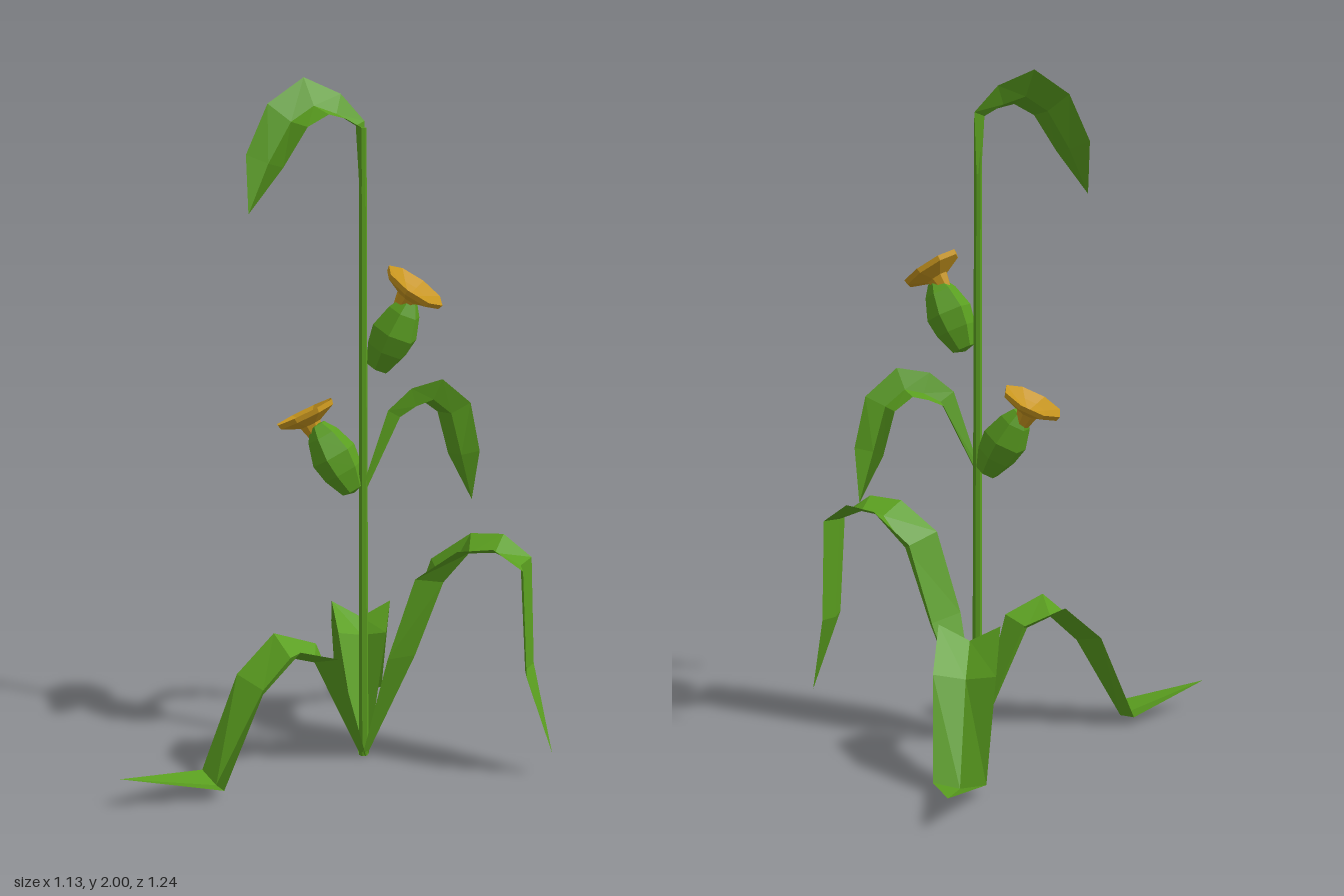
import * as THREE from 'three';

const green = new THREE.MeshStandardMaterial({ color: 0x5a9e1f, flatShading: true, side: THREE.DoubleSide });
const gold = new THREE.MeshStandardMaterial({ color: 0xc8961e, flatShading: true, side: THREE.DoubleSide });
const STEM_X = -0.01, STEM_Z = 0.09;

// Folded leaf arching away from the stem towards (dx, dz), rolled about its own length.
// Each station: [distance from stem, height, half width, fold depth]
function leaf(name, dx, dz, roll, stations) {
  const out = new THREE.Vector3(dx, 0, dz).normalize();
  const across = new THREE.Vector3(-out.z, 0, out.x);
  const positions = [], index = [];
  stations.forEach(([s, y, w, d], i) => {
    const a = stations[Math.max(i - 1, 0)], b = stations[Math.min(i + 1, stations.length - 1)];
    const tangent = out.clone().multiplyScalar(b[0] - a[0]).setY(b[1] - a[1]).normalize();
    const side = across.clone().applyAxisAngle(tangent, -roll);
    const normal = side.clone().cross(tangent);
    const centre = new THREE.Vector3(STEM_X, y, STEM_Z).addScaledVector(out, s);
    // rim, keel below the rims, rim
    for (const k of [-1, 0, 1]) {
      const p = centre.clone().addScaledVector(side, k * w);
      if (k === 0) p.addScaledVector(normal, -d);
      positions.push(p.x, p.y, p.z);
    }
    if (i === 0) return;
    for (let k = 0; k < 2; k++) {
      const p = (i - 1) * 3 + k, q = i * 3 + k;
      index.push(p, p + 1, q, p + 1, q + 1, q);
    }
  });
  const geometry = new THREE.BufferGeometry();
  geometry.setAttribute('position', new THREE.Float32BufferAttribute(positions, 3));
  geometry.setIndex(index);
  geometry.computeVertexNormals();
  const mesh = new THREE.Mesh(geometry, green);
  mesh.name = name;
  return mesh;
}

// Low-sided turned part standing at a point along a tilted axis
function turned(name, profile, sides, material, at, axis) {
  const points = profile.map(([r, y]) => new THREE.Vector2(r, y));
  const mesh = new THREE.Mesh(new THREE.LatheGeometry(points, sides), material);
  mesh.name = name;
  mesh.position.set(...at);
  mesh.quaternion.setFromUnitVectors(new THREE.Vector3(0, 1, 0), new THREE.Vector3(...axis).normalize());
  return mesh;
}

export function createModel() {
  const plant = new THREE.Group();
  plant.name = 'plant';

  // Stem
  const stem = new THREE.Mesh(new THREE.CylinderGeometry(0.011, 0.015, 1.86, 6), green);
  stem.name = 'stem';
  stem.position.set(STEM_X, 0.93, STEM_Z);
  plant.add(stem);

  // Three large leaves from the ground
  plant.add(
    leaf('leftGroundLeaf', 1, 0, 0, [
      [0, 0, 0.015, 0.01], [0.1, 0.35, 0.1, 0.06], [0.18, 0.6, 0.1, 0.07], [0.3, 0.69, 0.095, 0.035],
      [0.4, 0.7, 0.08, 0.035], [0.485, 0.64, 0.07, 0.02], [0.5, 0.32, 0.06, 0.015], [0.57, 0.07, 0, 0]]),
    leaf('frontGroundLeaf', -0.56, 0.53, 0, [
      [0, 0, 0.015, 0.01], [0.12, 0.35, 0.075, 0.05], [0.25, 0.4, 0.09, 0.05],
      [0.37, 0.295, 0.09, 0.05], [0.49, 0.025, 0.08, 0.02], [0.77, 0.09, 0, 0]]),
    leaf('backGroundLeaf', -0.22, -0.705, 0, [
      [0, 0, 0.015, 0.01], [0.1, 0.35, 0.072, 0.05], [0.22, 0.41, 0.09, 0.05],
      [0.35, 0.3, 0.09, 0.04], [0.47, 0.025, 0.075, 0.02], [0.74, 0.09, 0, 0]]));

  // Smaller leaves on the stem, rolled to one side
  plant.add(
    leaf('middleLeaf', 0.74, -0.67, 0.75, [
      [0, 0.83, 0.012, 0.01], [0.09, 1.045, 0.045, 0.03], [0.15, 1.085, 0.055, 0.035], [0.225, 1.1, 0.058, 0.035],
      [0.3, 1.04, 0.055, 0.035], [0.335, 0.9, 0.05, 0.025], [0.365, 0.75, 0, 0]]),
    leaf('topLeaf', -0.72, 0.69, 0.64, [
      [0, 1.7, 0.014, 0.01], [0, 1.87, 0.04, 0.02], [0.06, 1.92, 0.06, 0.03], [0.143, 1.95, 0.08, 0.035],
      [0.23, 1.9, 0.072, 0.035], [0.3, 1.78, 0.06, 0.025], [0.35, 1.64, 0, 0]]));

  // Buds, each topped with an open flower
  const bud = [[0, 0], [0.035, 0.01], [0.06, 0.07], [0.069, 0.125], [0.048, 0.19], [0.025, 0.225], [0, 0.23]];
  const flower = [[0.022, -0.04], [0.034, 0], [0.09, 0.025], [0.094, 0.04], [0.05, 0.022], [0, 0.005]];
  plant.add(
    turned('upperBud', bud, 6, green, [0.03, 1.18, STEM_Z], [0.42, 0.9, 0]),
    turned('upperFlower', flower, 8, gold, [0.12, 1.395, STEM_Z], [0.57, 0.82, 0]),
    turned('lowerBud', bud, 6, green, [-0.035, 0.815, STEM_Z], [-0.5, 0.85, 0]),
    turned('lowerFlower', flower, 8, gold, [-0.17, 1.01, 0.085], [-0.45, 0.89, 0]));

  return plant;
}
